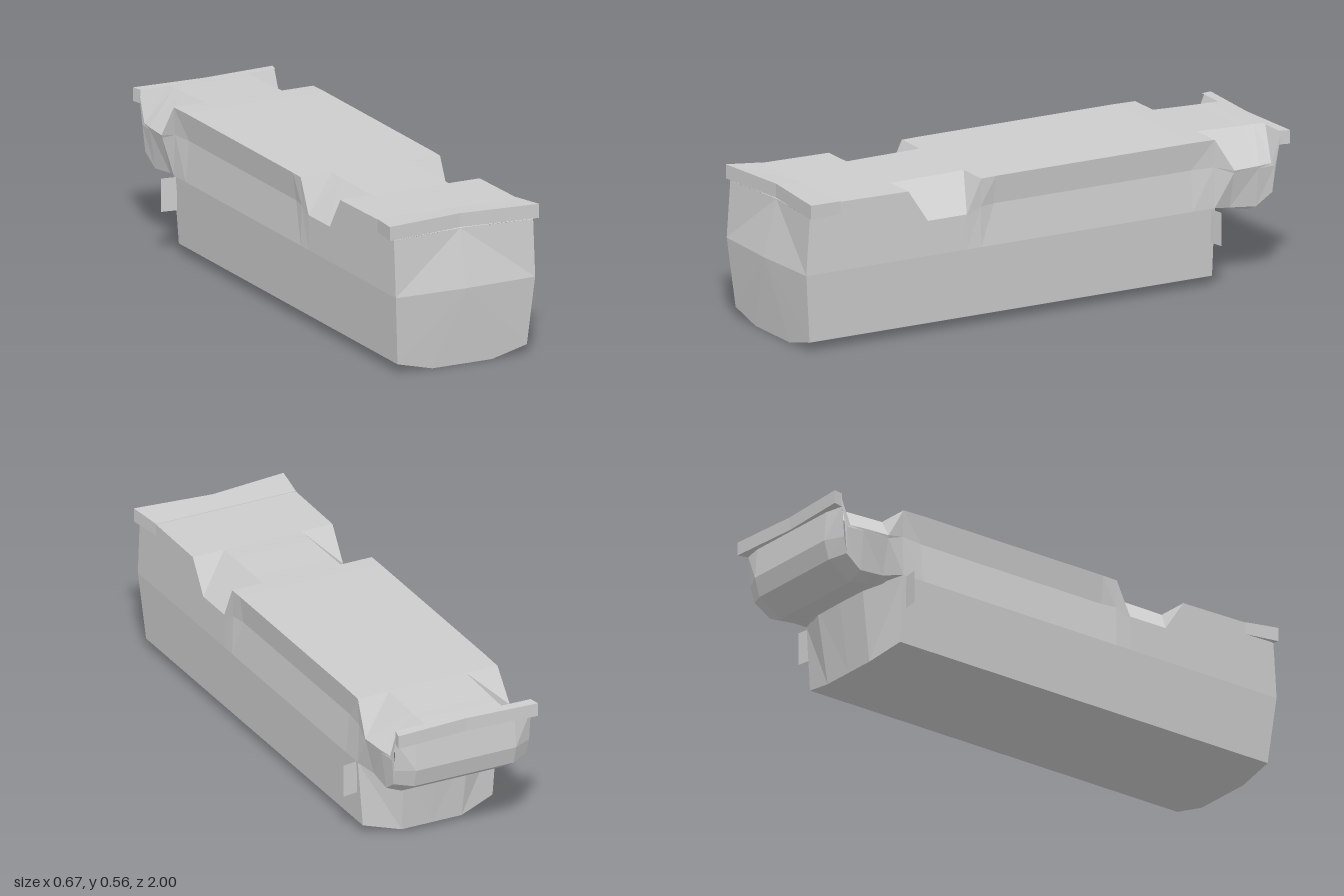
import * as THREE from 'three';

const grey = new THREE.MeshStandardMaterial({ color: 0xcccccc, flatShading: true });
grey.name = 'grey';
const greyThin = grey.clone();
greyThin.side = THREE.DoubleSide;

// Skins rows of [x, y, z] points and mirrors them across x = 0.
// With notched set, the diagonal turns wherever the next row drops.
function skin(name, rows, notched = false) {
  const pos = [];
  const tri = (...p) => {
    const [a, b, c] = p.map(q => new THREE.Vector3(...q));
    if (b.clone().sub(a).cross(c.clone().sub(a)).length() < 1e-7) return;
    pos.push(...p.flat());
    for (const q of [p[0], p[2], p[1]]) pos.push(-q[0], q[1], q[2]);
  };
  for (let i = 0; i < rows.length - 1; i++) {
    for (let j = 0; j < rows[i].length - 1; j++) {
      const a = rows[i][j], b = rows[i + 1][j], c = rows[i + 1][j + 1], d = rows[i][j + 1];
      if (notched && b[1] < a[1] - 0.05) { tri(a, b, d); tri(b, c, d); }
      else { tri(a, b, c); tri(a, c, d); }
    }
  }
  const geo = new THREE.BufferGeometry();
  geo.setAttribute('position', new THREE.Float32BufferAttribute(pos, 3));
  geo.computeVertexNormals();
  const mesh = new THREE.Mesh(geo, grey);
  mesh.name = name;
  return mesh;
}

// Upper half-section: waist, shoulder, inner notch edge, deck centre
const upper = (z, waistX, sideX, sideY, topY) => [
  [waistX, Math.min(0.44, sideY - 0.01), z], [sideX, sideY, z], [0.155, topY, z], [0, topY, z]];

const hullSection = (z, ...u) => [
  [0, 0, z], [0.12, 0, z], [0.26, 0.035, z], [0.28, 0.29, z], ...upper(z, ...u)];

export function createModel() {
  const model = new THREE.Group();
  model.name = 'model';

  // Long hull with the front pair of shoulder notches
  model.add(skin('hull', [
    [[0, 0, 0.965], [0.12, 0, 0.965], [0.26, 0.035, 0.965], [0.28, 0.29, 0.99],
      [0.28, 0.44, 0.98], [0.28, 0.5, 0.975], [0.155, 0.5, 0.962], [0, 0.5, 0.95]],
    hullSection(0.85, 0.28, 0.28, 0.545, 0.545),
    hullSection(0.57, 0.28, 0.28, 0.541, 0.541),
    hullSection(0.49, 0.28, 0.28, 0.42, 0.542),
    hullSection(0.33, 0.28, 0.28, 0.42, 0.543),
    hullSection(0.27, 0.276, 0.28, 0.544, 0.544),
    hullSection(0.21, 0.266, 0.28, 0.545, 0.545),
    hullSection(-0.6, 0.266, 0.28, 0.545, 0.545),
    hullSection(-0.69, 0.275, 0.28, 0.543, 0.543),
  ], true));

  // Faceted nose
  model.add(skin('nose', [
    [[0, 0.5, 0.95], [0, 0.5, 0.95], [0.28, 0.5, 0.975]],
    [[0, 0.29, 1], [0, 0.29, 1], [0.28, 0.29, 0.99]],
    [[0, 0, 0.965], [0.12, 0, 0.965], [0.26, 0.035, 0.965]],
  ]));

  // Angled stern below the overhang
  model.add(skin('stern', [
    [[0, 0, -0.72], [0.12, 0, -0.72], [0.26, 0.035, -0.69]],
    [[0, 0.29, -0.765], [0.13, 0.29, -0.76], [0.28, 0.29, -0.69]],
  ]));
  model.add(skin('sternFloor', [
    [[0, 0, -0.69], [0.12, 0, -0.69], [0.26, 0.035, -0.69]],
    [[0, 0, -0.72], [0.12, 0, -0.72], [0.26, 0.035, -0.69]],
  ]));

  // Rear overhang with the second pair of notches
  const overhang = (z, bottomY, edgeX, edgeY, ...u) => [
    [0, bottomY, z], [0.2, bottomY, z], [edgeX, edgeY, z], ...upper(z, ...u)];
  model.add(skin('rearOverhang', [
    overhang(-0.69, 0.285, 0.28, 0.29, 0.275, 0.28, 0.543, 0.543),
    overhang(-0.765, 0.26, 0.255, 0.275, 0.287, 0.29, 0.42, 0.54),
    overhang(-0.87, 0.24, 0.26, 0.265, 0.28, 0.282, 0.42, 0.536),
    [[0, 0.3, -0.965], [0.2, 0.3, -0.965], [0.265, 0.31, -0.935], [0.274, 0.41, -0.94],
      [0.274, 0.42, -0.925], [0.155, 0.535, -0.925], [0, 0.535, -0.925]],
    [[0, 0.3, -0.965], [0.2, 0.3, -0.965], [0.265, 0.31, -0.935], [0.272, 0.43, -0.95],
      [0.272, 0.533, -0.97], [0.155, 0.533, -0.97], [0, 0.533, -0.97]],
  ], true));

  // Rounded back wall
  model.add(skin('backWall', [
    [[0, 0.3, -0.965], [0.2, 0.3, -0.965], [0.265, 0.31, -0.935]],
    [[0, 0.37, -0.985], [0.2, 0.37, -0.985], [0.27, 0.37, -0.95]],
    [[0, 0.49, -0.975], [0.2, 0.49, -0.975], [0.272, 0.49, -0.96]],
  ]));

  // Overhanging lips at both ends of the deck
  const ring = (x, y0, y1, zMid, zSide) => [
    [0, y0, zMid], [x, y0, zSide], [x, y1, zSide], [0, y1, zMid]];
  const face = (r) => [[r[3], r[2]], [r[0], r[1]]];
  const frontEdge = ring(0.3, 0.503, 0.555, 0.95, 0.982);
  model.add(skin('frontLip', [frontEdge, ring(0.28, 0.5, 0.547, 0.85, 0.85)]));
  model.add(skin('frontLipFace', face(frontEdge)));
  const rearEdge = ring(0.28, 0.483, 0.533, -0.985, -1);
  model.add(skin('rearLip', [ring(0.271, 0.483, 0.534, -0.955, -0.96), rearEdge]));
  model.add(skin('rearLipFace', face(rearEdge).reverse()));

  // Thin side fins near the stern
  for (const side of [1, -1]) {
    const fin = new THREE.Mesh(new THREE.PlaneGeometry(0.06, 0.124), greyThin);
    fin.name = side > 0 ? 'leftFin' : 'rightFin';
    fin.position.set(side * 0.305, 0.226, -0.68);
    fin.rotation.y = side * 0.15;
    model.add(fin);
  }
  return model;
}
